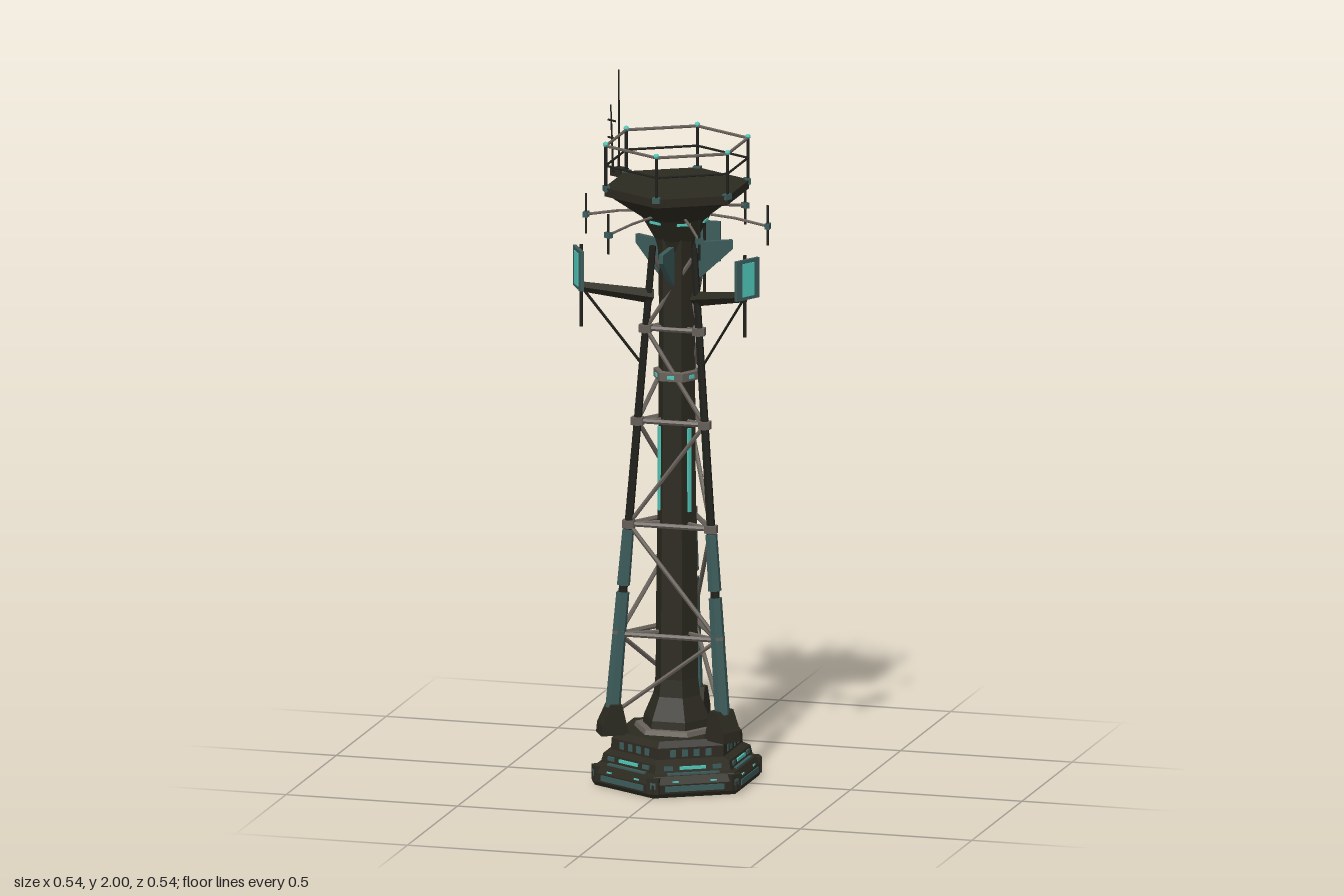
import * as THREE from 'three';

export function createModel() {
  const root = new THREE.Group();
  root.name = 'watchTower';
  const tower = new THREE.Group();
  tower.name = 'tower';
  tower.position.z = 0.022;
  root.add(tower);

  const mat = (name, color) => {
    const m = new THREE.MeshStandardMaterial({ color, flatShading: true });
    m.name = name;
    return m;
  };
  const dark = mat('dark olive metal', 0x2c2a20);
  const black = mat('black metal', 0x20211b);
  const teal = mat('teal panel', 0x3d5c5c);
  const cyan = mat('cyan light', 0x50c8ba);
  const grey = mat('grey steel', 0x69625b);

  const V = (x, y, z) => new THREE.Vector3(x, y, z);
  const add = (parent, name, geo, m) => {
    const o = new THREE.Mesh(geo, m);
    o.name = name;
    parent.add(o);
    return o;
  };
  const box = (parent, name, m, w, h, d, x, y, z) => {
    const o = add(parent, name, new THREE.BoxGeometry(w, h, d), m);
    o.position.set(x, y, z);
    return o;
  };
  // Straight bar between two points
  const bar = (parent, name, m, a, b, r0, r1 = r0, sides = 6) => {
    const o = add(parent, name, new THREE.CylinderGeometry(r1, r0, a.distanceTo(b), sides), m);
    o.position.copy(a).add(b).multiplyScalar(0.5);
    o.quaternion.setFromUnitVectors(V(0, 1, 0), b.clone().sub(a).normalize());
    return o;
  };
  // Six-sided solid of revolution
  const hex = (name, m, pts, start = 0) =>
    add(tower, name, new THREE.LatheGeometry(pts.map(p => new THREE.Vector2(...p)), 6, start), m);
  // Group whose local z points outward at an angle from the front
  const spoke = (name, deg) => {
    const g = new THREE.Group();
    g.name = name;
    g.rotation.y = THREE.MathUtils.degToRad(deg);
    tower.add(g);
    return g;
  };
  const polar = (deg, r, y) => {
    const a = THREE.MathUtils.degToRad(deg);
    return V(Math.sin(a) * r, y, Math.cos(a) * r);
  };

  // Stepped base
  hex('base', dark, [[0, 0], [0.236, 0], [0.244, 0.012], [0.244, 0.038], [0.232, 0.06], [0.218, 0.065],
    [0.212, 0.09], [0.19, 0.1], [0.188, 0.132], [0.174, 0.15], [0, 0.15]]);
  hex('baseRing', grey, [[0.125, 0.149], [0.12, 0.163], [0, 0.163]], Math.PI / 6);
  for (let i = 0; i < 6; i++) {
    const side = spoke('baseSide', 30 + i * 60);
    box(side, 'lowerPanel', teal, 0.17, 0.016, 0.008, 0, 0.026, 0.2105);
    box(side, 'ledgePlate', teal, 0.15, 0.006, 0.012, 0, 0.064, 0.192);
    box(side, 'lightStrip', cyan, 0.075, 0.009, 0.008, 0, 0.079, 0.186);
    for (const s of [-1, 1]) {
      box(side, 'sideVent', teal, 0.025, 0.012, 0.008, s * 0.07, 0.079, 0.185);
      box(side, 'lowerLight', cyan, 0.018, 0.004, 0.008, s * 0.055, 0.045, 0.207);
    }
    for (let k = 0; k < 4; k++)
      box(side, 'window', teal, 0.017, 0.02, 0.007, (k - 1.5) * 0.034, 0.116, 0.162);
    const corner = spoke('baseCorner', i * 60);
    box(corner, 'cornerBlock', dark, 0.035, 0.045, 0.03, 0, 0.035, 0.226);
    box(corner, 'cornerPlate', teal, 0.016, 0.018, 0.008, 0, 0.036, 0.238);
  }

  // Central column, collar and funnel with deck
  hex('column', dark, [[0.1, 0.155], [0.096, 0.185], [0.068, 0.25], [0.062, 0.3], [0.06, 0.55],
    [0.055, 0.9], [0.052, 1.35], [0.055, 1.5], [0.058, 1.6]], Math.PI / 6);
  hex('collar', grey, [[0.05, 1.155], [0.068, 1.158], [0.068, 1.182], [0.05, 1.185]], Math.PI / 6);
  hex('funnel', dark, [[0.054, 1.53], [0.062, 1.56], [0.1, 1.625], [0.185, 1.683], [0.208, 1.69],
    [0.21, 1.715], [0, 1.715]]);

  // Upper antennas and lights on every funnel face
  for (let i = 0; i < 6; i++) {
    const g = spoke('upperAntenna', 30 + i * 60);
    bar(g, 'antennaRod', grey, V(0, 1.635, 0.08), V(0, 1.627, 0.17), 0.004);
    bar(g, 'antennaRod', grey, V(0, 1.627, 0.17), V(0, 1.61, 0.265), 0.004);
    box(g, 'antennaHead', teal, 0.021, 0.016, 0.014, 0, 1.61, 0.265);
    bar(g, 'antennaWhip', black, V(0, 1.555, 0.265), V(0, 1.67, 0.265), 0.0035);
    box(g, 'funnelLight', cyan, 0.04, 0.007, 0.008, 0, 1.615, 0.083);
    const c = spoke('collarSide', i * 60);
    box(c, 'collarLight', cyan, 0.02, 0.01, 0.006, 0, 1.17, 0.059);
  }

  // Railing
  for (let i = 0; i < 6; i++) {
    const a = i * 60, b = a + 60, r = 0.205;
    bar(tower, 'railPost', black, polar(a, r, 1.71), polar(a, r, 1.838), 0.0045);
    bar(tower, 'topRail', grey, polar(a, r, 1.835), polar(b, r, 1.835), 0.0045);
    bar(tower, 'midRail', black, polar(a, r, 1.778), polar(b, r, 1.778), 0.0035);
    add(tower, 'railCap', new THREE.SphereGeometry(0.008, 8, 6), cyan).position.copy(polar(a, r, 1.839));
    const foot = spoke('railFoot', a);
    box(foot, 'railFootBlock', teal, 0.022, 0.016, 0.016, 0, 1.712, 0.203);
  }

  // Three leaning legs with panel antennas
  const legR = y => 0.186 - (y - 0.2) * 0.087;
  const leg = (deg, y) => polar(deg, legR(y), y);
  const finShape = new THREE.Shape([[0.045, 1.545], [0.045, 1.43], [0.075, 1.45], [0.16, 1.52], [0.16, 1.545]]
    .map(p => new THREE.Vector2(...p)));
  const footShape = new THREE.Shape([[0.145, 0.145], [0.225, 0.145], [0.222, 0.175], [0.195, 0.232], [0.165, 0.232]]
    .map(p => new THREE.Vector2(...p)));
  const plate = (g, name, shape, t, m) => {
    const geo = new THREE.ExtrudeGeometry(shape, { depth: t, bevelEnabled: false });
    geo.translate(0, 0, -t / 2).rotateY(-Math.PI / 2);
    return add(g, name, geo, m);
  };
  for (const deg of [60, 180, 300]) {
    const g = spoke('legAssembly', deg);
    const on = y => V(0, y, legR(y));
    plate(g, 'foot', footShape, 0.065, dark);
    bar(g, 'leg', black, on(0.18), on(1.54), 0.014, 0.01);
    bar(g, 'legSleeve', teal, on(0.22), on(0.55), 0.022, 0.019);
    bar(g, 'legSleeve', teal, on(0.57), on(0.73), 0.019, 0.017);
    box(g, 'columnLight', cyan, 0.012, 0.24, 0.008, 0, 0.9, 0.05);

    // Panel antenna on its arm
    const arm = bar(g, 'panelArm', dark, V(0, 1.395, 0.07), V(0, 1.436, 0.28), 0.021, 0.014, 4);
    arm.scale.x = 0.8;
    bar(g, 'armStrut', black, V(0, 1.2, legR(1.2)), V(0, 1.425, 0.268), 0.004);
    bar(g, 'panelMast', black, V(0, 1.32, 0.276), V(0, 1.556, 0.276), 0.005);
    box(g, 'panel', teal, 0.088, 0.115, 0.01, 0, 1.488, 0.284);
    box(g, 'panelFace', cyan, 0.045, 0.095, 0.004, 0, 1.488, 0.2895);

    // Fin between the legs
    plate(spoke('finSide', deg + 60), 'fin', finShape, 0.014, teal);
  }

  // Cross bracing: rings with a zigzag on each face
  const levels = [0.2, 0.43, 0.745, 1.04, 1.305, 1.52];
  for (const deg of [60, 180, 300]) {
    const next = deg + 120;
    levels.forEach((y, k) => {
      if (k > 0 && k < 5) {
        bar(tower, 'ringBrace', grey, leg(deg, y), leg(next, y), 0.0075);
        add(tower, 'braceNode', new THREE.CylinderGeometry(0.02, 0.02, 0.022, 6), grey).position.copy(leg(deg, y));
        bar(tower, 'columnTie', grey, polar(deg, 0.04, y), leg(deg, y), 0.006);
      }
      if (k < 5) {
        const [p, q] = k % 2 ? [next, deg] : [deg, next];
        bar(tower, 'diagonalBrace', grey, leg(p, y), leg(q, levels[k + 1]), 0.0065);
      }
    });
  }

  // Whip antennas on the back corner of the deck
  const mount = spoke('whipMount', 240);
  box(mount, 'whipBox', dark, 0.036, 0.022, 0.04, 0, 1.71, 0.232);
  bar(tower, 'tallWhip', black, V(-0.207, 1.71, -0.13), V(-0.207, 2, -0.13), 0.0035, 0.002);
  bar(tower, 'shortWhip', black, V(-0.215, 1.71, -0.1), V(-0.222, 1.905, -0.1), 0.0035, 0.002);
  for (const y of [1.81, 1.86])
    bar(tower, 'whipCross', black, V(-0.232, y, -0.108), V(-0.206, y, -0.092), 0.003);
  return root;
}
